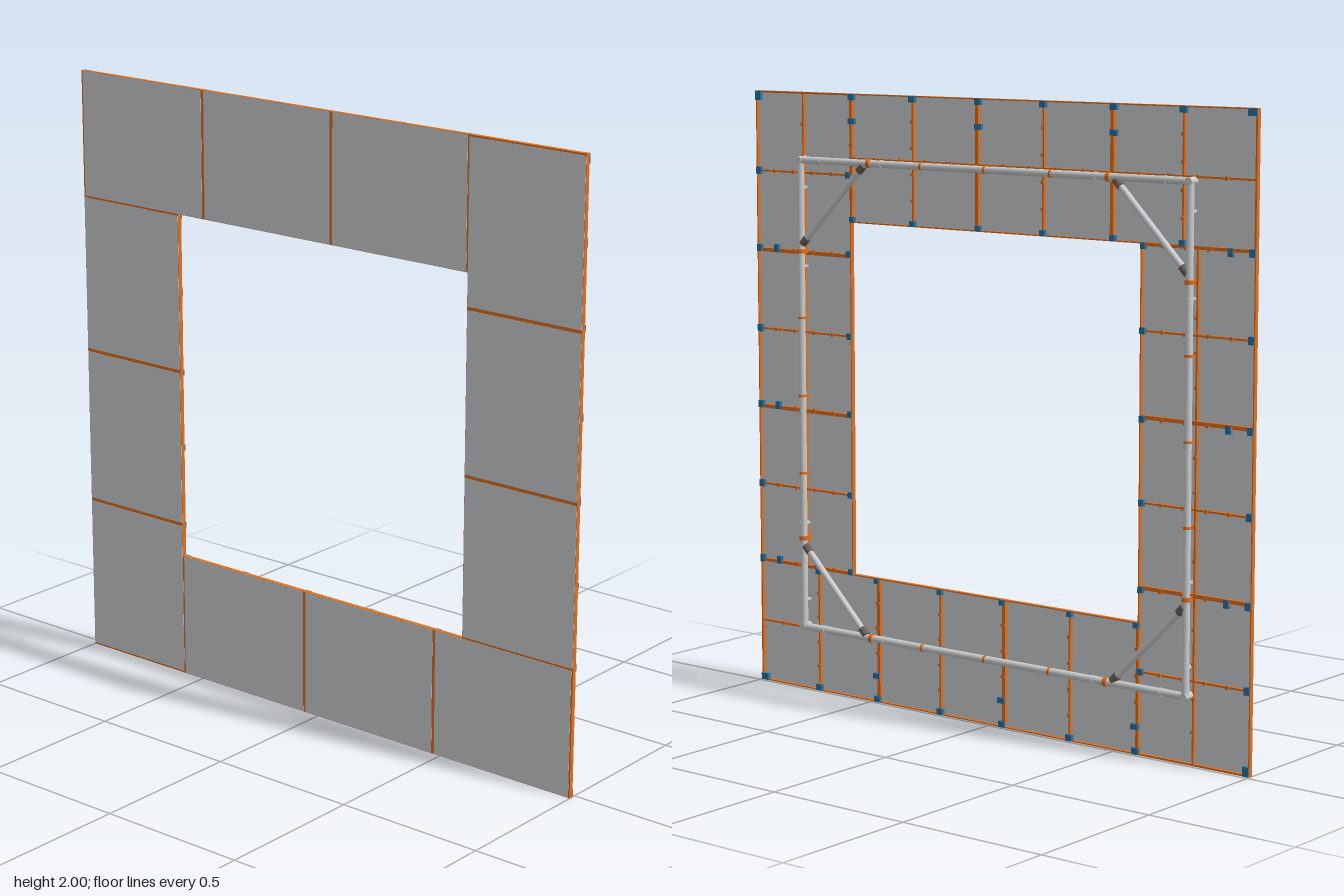
import * as THREE from 'three';

const mat = (name, color) => {
  const m = new THREE.MeshStandardMaterial({ color });
  m.name = name;
  return m;
};

export function createModel() {
  const grey = mat('panelGrey', 0xd0d4d6);
  const orange = mat('frameOrange', 0xe2701f);
  const steel = mat('pipeSteel', 0xcdd0d2);
  const blue = mat('clipBlue', 0x2a74a4);
  const dark = mat('clampDark', 0x6e625a);

  const W = 0.5275, IN = 0.5825, OUT = 1, H = OUT - IN;   // panel length, inner and outer edge
  const MID = (IN + OUT) / 2;
  const P = 0.78, PZ = -0.0125, PR = 0.0118;               // pipe square

  const box = (parent, name, m, w, h, d, x, y, z) => {
    const mesh = new THREE.Mesh(new THREE.BoxGeometry(w, h, d), m);
    mesh.name = name;
    mesh.position.set(x, y, z);
    parent.add(mesh);
  };

  // cylinder between two points
  const rod = (parent, name, m, r, a, b, sides = 14) => {
    const dir = b.clone().sub(a);
    const mesh = new THREE.Mesh(new THREE.CylinderGeometry(r, r, dir.length(), sides), m);
    mesh.name = name;
    mesh.position.copy(a).add(b).multiplyScalar(0.5);
    mesh.quaternion.setFromUnitVectors(new THREE.Vector3(0, 1, 0), dir.normalize());
    parent.add(mesh);
  };
  const v = (x, y, z = PZ) => new THREE.Vector3(x, y, z);

  // one formwork panel: face sheet, edge rim, two crossing ribs and bolts
  const panel = (x0) => {
    const g = new THREE.Group();
    g.name = 'panel';
    const cx = x0 + W / 2, z = 0.0185, d = 0.015, t = 0.006;
    box(g, 'faceSheet', grey, W - 0.011, H - 0.002, 0.004, cx, MID, 0.0248);
    for (const s of [-1, 1]) {
      box(g, 'endRim', orange, t, H, d, cx + s * (W - t) / 2, MID, z);
      box(g, 'longRim', orange, W, 0.004, d, cx, MID + s * (H - 0.004) / 2, z);
    }
    box(g, 'longRib', orange, W, 0.006, 0.012, cx, MID, 0.018);
    box(g, 'crossRib', orange, 0.006, H, 0.012, cx, MID, 0.018);
    for (const f of [-0.3, -0.1, 0.1, 0.3]) {
      box(g, 'ribBolt', orange, 0.012, 0.01, 0.01, cx, MID + f * H, 0.013);
      box(g, 'rimBolt', orange, 0.014, 0.01, 0.01, x0 + W - 0.003, MID + f * H, 0.013);
      box(g, 'longBolt', orange, 0.01, 0.012, 0.01, cx + f * W, MID, 0.013);
    }
    // blue clips on the edges and at the seam
    for (const x of [cx, x0 + W - 0.006]) {
      box(g, 'outerClip', blue, 0.024, 0.02, 0.012, x, OUT - 0.011, 0.012);
      box(g, 'innerClip', blue, 0.02, 0.018, 0.012, x, IN + 0.01, 0.012);
    }
    box(g, 'seamClip', blue, 0.026, 0.018, 0.012, x0 + W - 0.008, MID + 0.12, 0.011);
    return g;
  };

  // one side of the square, repeated by quarter turns
  const side = () => {
    const g = new THREE.Group();
    g.name = 'side';
    for (let i = 0; i < 3; i++) g.add(panel(-1 + i * W));
    box(g, 'cornerClip', blue, 0.03, 0.022, 0.012, -0.984, OUT - 0.012, 0.012);

    // bracing pipe with its corner collar
    rod(g, 'pipe', steel, PR, v(-P, P), v(P, P));
    rod(g, 'cornerCollar', steel, 0.0125, v(P, P, PZ - 0.0125), v(P, P, 0.012));

    // small clamps fixing the pipe to the panels
    for (const x of [-0.69, -0.43, -0.26, 0, 0.26, 0.43, 0.69]) {
      const inner = Math.abs(x) < 0.3;
      rod(g, 'pipeClamp', inner ? orange : steel, 0.0135, v(x - 0.004, P), v(x + 0.004, P));
      box(g, 'clampFoot', inner ? orange : steel, 0.008, 0.01, 0.018, x, P, 0.006);
    }
    // orange couplers where the braces meet the pipe
    for (const x of [-0.48, 0.48]) {
      rod(g, 'coupler', orange, 0.0148, v(x - 0.007, P), v(x + 0.007, P));
      box(g, 'couplerFoot', orange, 0.014, 0.014, 0.022, x, P, 0.008);
    }

    // diagonal corner brace with end fittings
    const a = v(0.51, P - 0.012), b = v(P - 0.012, 0.51);
    rod(g, 'cornerBrace', steel, 0.0105, a, b, 12);
    for (const [p, q] of [[a, b], [b, a]]) {
      rod(g, 'braceFitting', dark, 0.0135, p.clone().lerp(q, -0.02), p.clone().lerp(q, 0.06), 10);
    }
    return g;
  };

  const model = new THREE.Group();
  model.name = 'panelFrame';
  for (let k = 0; k < 4; k++) {
    const s = side();
    s.rotation.z = -k * Math.PI / 2;
    s.position.y = 1;
    model.add(s);
  }
  return model;
}
